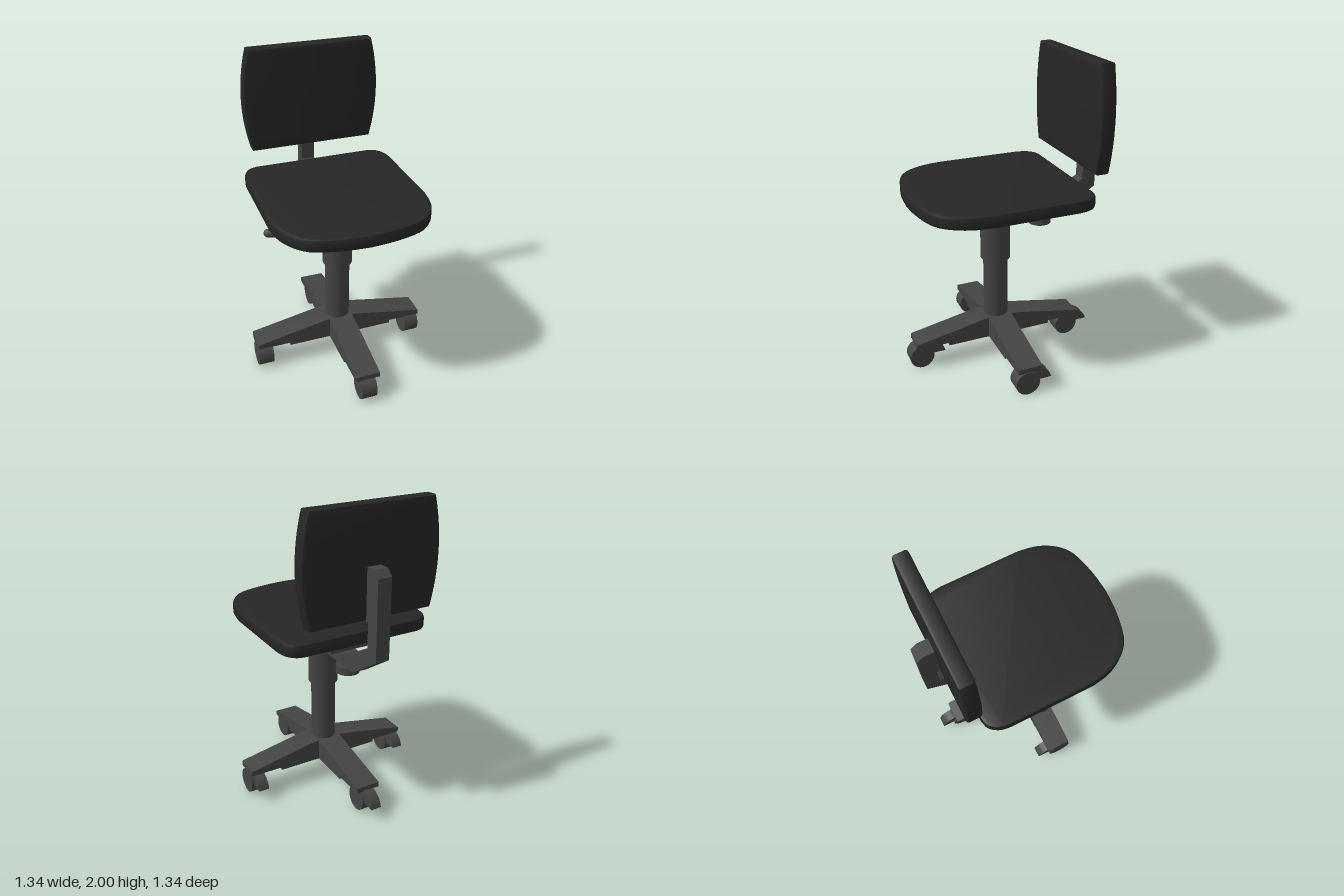
import * as THREE from 'three';
import { toCreasedNormals } from 'three/addons/utils/BufferGeometryUtils.js';

const fabric = new THREE.MeshStandardMaterial({ color: 0x262626 });
const plastic = new THREE.MeshStandardMaterial({ color: 0x444444 });

function add(parent, name, geometry, material = plastic) {
  const mesh = new THREE.Mesh(geometry, material);
  mesh.name = name;
  parent.add(mesh);
  return mesh;
}

const shapeOf = (points) => new THREE.Shape(points.map(([x, y]) => new THREE.Vector2(x, y)));

// Extrusion of exact total depth, centred on z, with optional bevel inside the outline
function slab(shape, depth, bevel = 0) {
  const geometry = new THREE.ExtrudeGeometry(shape, {
    depth: depth - 2 * bevel, curveSegments: 16, bevelEnabled: bevel > 0,
    bevelThickness: bevel, bevelSize: bevel, bevelOffset: -bevel, bevelSegments: 2,
  });
  geometry.translate(0, 0, bevel - depth / 2);
  return toCreasedNormals(geometry, 0.6);
}

// Side profile given as (z, y), extruded across x
const sideProfile = (shape, width) => slab(shape, width).rotateY(-Math.PI / 2);

// Plan outline given as (x, z), from y0 up to y1
const planSlab = (shape, y0, y1, bevel) =>
  slab(shape, y1 - y0, bevel).rotateX(Math.PI / 2).translate(0, (y0 + y1) / 2, 0);

const cylinder = (r, y0, y1, sides = 32) =>
  new THREE.CylinderGeometry(r, r, y1 - y0, sides).translate(0, (y0 + y1) / 2, 0);

// Symmetric plan outline from a right half running front to back
function mirroredOutline(half) {
  const left = half.filter(([x]) => x > 0).map(([x, z]) => [-x, z]).reverse();
  return shapeOf([...half, ...left]);
}

function addSeat(chair) {
  const curve = (pts, n) => new THREE.SplineCurve(pts.map(([x, z]) => new THREE.Vector2(x, z)))
    .getPoints(n).map((p) => [p.x, p.y]);
  const front = curve([[0, 0.58], [0.15, 0.567], [0.32, 0.525], [0.413, 0.454], [0.476, 0.34], [0.5, 0.21]], 20);
  const rear = curve([[0.5, -0.34], [0.487, -0.415], [0.445, -0.472], [0.39, -0.49]], 8);
  add(chair, 'seat', planSlab(mirroredOutline([...front, ...rear]), 1.14, 1.225, 0.018), fabric);

  const plateFront = curve([[0, 0.4], [0.17, 0.39], [0.29, 0.31], [0.35, 0.2]], 12);
  add(chair, 'seatPlate', planSlab(mirroredOutline([...plateFront, [0.35, -0.18], [0.17, -0.4]]), 1.08, 1.14, 0));
}

function addBackrest(chair) {
  const pad = new THREE.Shape();
  pad.moveTo(-0.405, 1.33);
  pad.lineTo(0.405, 1.33);
  pad.quadraticCurveTo(0.495, 1.665, 0.405, 2);
  pad.lineTo(-0.405, 2);
  pad.quadraticCurveTo(-0.495, 1.665, -0.405, 1.33);
  add(chair, 'backrest', slab(pad, 0.095, 0.015).translate(0, 0, -0.5325), fabric);

  // Bent arm from the column up behind the backrest
  add(chair, 'backrestArm', sideProfile(shapeOf([
    [-0.05, 0.95], [-0.05, 1.04], [-0.37, 1.04], [-0.6, 1.17], [-0.6, 1.33], [-0.57, 1.33],
    [-0.57, 1.65], [-0.65, 1.65], [-0.69, 1.61], [-0.69, 1.11], [-0.45, 0.95],
  ]), 0.09));

  const knob = new THREE.Group();
  knob.name = 'adjustmentKnob';
  knob.position.z = -0.315;
  add(knob, 'knobStem', cylinder(0.032, 0.93, 1.0, 16));
  add(knob, 'knobGrip', cylinder(0.075, 0.895, 0.945, 24));
  chair.add(knob);
}

function addColumn(chair) {
  add(chair, 'gasLift', cylinder(0.08, 0.2, 0.71));
  add(chair, 'columnSleeve', cylinder(0.097, 0.7, 1.09));

  // Height lever with a thicker grip
  const start = new THREE.Vector3(-0.1, 0.945, 0.02);
  const tip = new THREE.Vector3(-0.43, 0.945, -0.085);
  const grip = start.clone().lerp(tip, 0.85);
  add(chair, 'leverRod', new THREE.TubeGeometry(new THREE.LineCurve3(start, tip), 1, 0.02, 12));
  const handle = add(chair, 'leverGrip', new THREE.CapsuleGeometry(0.028, 0.06, 6, 14));
  handle.position.copy(grip.lerp(tip, 0.5));
  handle.quaternion.setFromUnitVectors(new THREE.Vector3(0, 1, 0), tip.clone().sub(start).normalize());
}

function addBase(chair) {
  const legGeometry = sideProfile(shapeOf([
    [0, 0.145], [0.36, 0.145], [0.36, 0.165], [0.578, 0.165], [0.578, 0.198], [0.11, 0.287], [0, 0.287],
  ]), 0.16);
  const wheelGeometry = new THREE.CylinderGeometry(0.08, 0.08, 0.1, 28).rotateZ(Math.PI / 2);
  const hood = new THREE.Shape();
  hood.moveTo(0.03, 0.085);
  hood.lineTo(0.03, 0.17);
  hood.lineTo(-0.06, 0.17);
  hood.quadraticCurveTo(-0.135, 0.155, -0.15, 0.085);
  const hoodGeometry = sideProfile(hood, 0.07);

  for (let i = 0; i < 4; i++) {
    const angle = i * Math.PI / 2;
    add(chair, 'baseLeg', legGeometry).rotation.y = angle;

    // Casters all trail the same way
    const caster = new THREE.Group();
    caster.name = 'caster';
    caster.position.set(Math.sin(angle) * 0.527, 0, Math.cos(angle) * 0.527);
    add(caster, 'wheel', wheelGeometry).position.set(0, 0.083, 0.012);
    add(caster, 'wheelHood', hoodGeometry);
    chair.add(caster);
  }
}

export function createModel() {
  const model = new THREE.Group();
  model.name = 'deskChair';
  // The chair is turned an eighth of a circle around its column
  const chair = new THREE.Group();
  chair.name = 'chair';
  chair.position.set(0.05, 0, 0.06);
  chair.rotation.y = Math.PI / 4;
  model.add(chair);
  addSeat(chair);
  addBackrest(chair);
  addColumn(chair);
  addBase(chair);
  return model;
}
